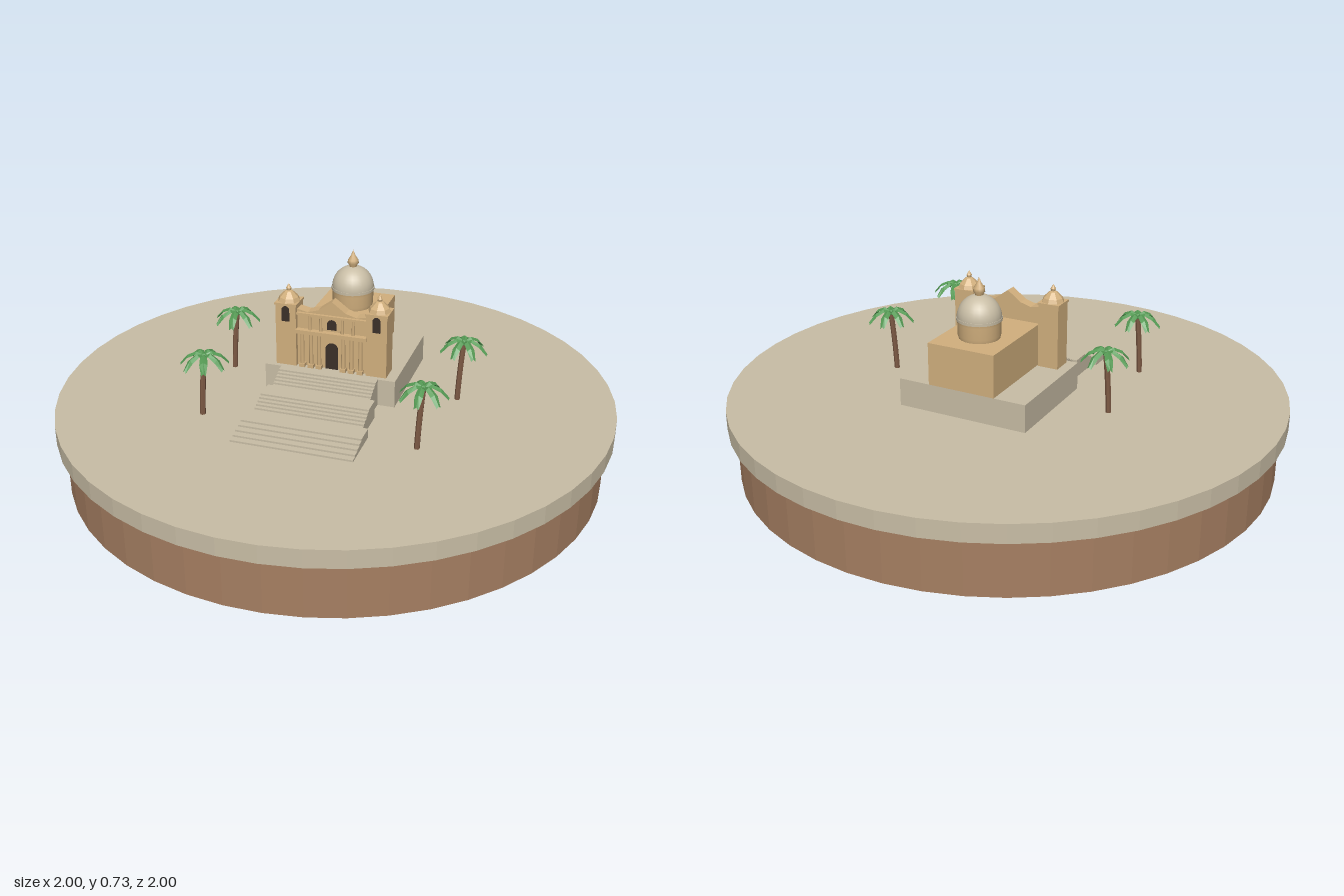
import * as THREE from 'three';

const mat = (name, color, extra = {}) => {
  const m = new THREE.MeshStandardMaterial({ color, ...extra });
  m.name = name;
  return m;
};

export function createModel() {
  const stone = mat('pale stone', 0xc9bea6);
  const stoneFlat = mat('pale stone faceted', 0xc9bea6, { flatShading: true });
  const earth = mat('earth brown', 0xa67f62, { flatShading: true });
  const tan = mat('tan plaster', 0xd2b07e);
  const tanFlat = mat('tan plaster faceted', 0xd2b07e, { flatShading: true });
  const dark = mat('dark opening', 0x3b3029);
  const bark = mat('palm bark', 0x7d5a44, { flatShading: true });
  const leaf = mat('palm green', 0x559a54, { flatShading: true, side: THREE.DoubleSide });

  const model = new THREE.Group();
  model.name = 'hilltopChurch';

  const add = (parent, name, geo, material, x = 0, y = 0, z = 0) => {
    const m = new THREE.Mesh(geo, material);
    m.name = name;
    m.position.set(x, y, z);
    parent.add(m);
    return m;
  };
  const box = (parent, name, material, w, y0, y1, d, x, z) =>
    add(parent, name, new THREE.BoxGeometry(w, y1 - y0, d), material, x, (y0 + y1) / 2, z);
  const lathe = (pts, n) => new THREE.LatheGeometry(pts.map(p => new THREE.Vector2(...p)), n);
  const extrude = (shape, depth) =>
    new THREE.ExtrudeGeometry(shape, { depth, bevelEnabled: false, curveSegments: 8 });

  // Round plinth
  const G = 0.265, T = 0.365;
  add(model, 'plinthBase', new THREE.CylinderGeometry(0.97, 0.97, 0.2, 48), earth, 0, 0.1, 0);
  add(model, 'plinthTop', new THREE.CylinderGeometry(1, 1, 0.065, 48), stoneFlat, 0, 0.2325, 0);

  // Church group, turned on the plinth
  const church = new THREE.Group();
  church.name = 'church';
  church.position.set(0.045, 0, -0.13);
  church.rotation.y = -Math.PI / 9;
  model.add(church);

  box(church, 'terrace', stone, 0.484, G, T, 0.414, 0, 0);

  // Three flights of steps with landings, each as one stepped profile
  const flights = [ // half width, back z, landing front z, foot z
    [0.18, 0.2, 0.236, 0.305], [0.197, 0.3, 0.373, 0.445], [0.215, 0.44, 0.515, 0.635],
  ];
  const rise = 0.1 / 3, steps = 5;
  flights.forEach(([hw, back, land, foot], i) => {
    const top = T - i * rise;
    const s = new THREE.Shape();
    s.moveTo(-back, G);
    s.lineTo(-back, top);
    const run = (foot - land) / steps;
    for (let k = 0; k < steps; k++) {
      const z = land + k * run, y = top - (k * rise) / steps;
      s.lineTo(-z, y);
      s.lineTo(-z, y - rise / steps);
    }
    if (i < 2) {
      s.lineTo(-foot, top - rise);
      s.lineTo(-foot, G);
    }
    const g = extrude(s, hw * 2);
    g.rotateY(Math.PI / 2);
    g.translate(-hw, 0, 0);
    add(church, 'stairFlight', g, stone);
  });

  // Nave
  box(church, 'nave', tan, 0.25, T, 0.517, 0.345, 0, -0.0345);

  // Drum, dome and finial
  const dz = -0.074;
  add(church, 'domeDrum', lathe([[0.07, 0.51], [0.075, 0.53], [0.075, 0.57], [0.078, 0.585]], 24), tan, 0, 0, dz);
  add(church, 'domeRim', new THREE.CylinderGeometry(0.079, 0.079, 0.01, 24), stone, 0, 0.585, dz);
  const dome = add(church, 'dome', new THREE.SphereGeometry(0.077, 24, 10, 0, Math.PI * 2, 0, Math.PI / 2), stone, 0, 0.589, dz);
  dome.scale.y = 1.03;
  add(church, 'domeFinial',
    lathe([[0.014, 0.655], [0.014, 0.67], [0.021, 0.68], [0.019, 0.692], [0.009, 0.708], [0, 0.73]], 10), tan, 0, 0, dz);

  // Gabled facade
  const gable = new THREE.Shape();
  gable.moveTo(-0.135, T);
  gable.lineTo(0.135, T);
  [[0.135, 0.582], [0.09, 0.573], [0.05, 0.585], [0, 0.622], [-0.05, 0.585], [-0.09, 0.573], [-0.135, 0.582]]
    .forEach(p => gable.lineTo(...p));
  add(church, 'facade', extrude(gable, 0.042), tan, 0, 0, 0.132);
  box(church, 'facadeCornice', tan, 0.262, 0.495, 0.509, 0.026, 0, 0.182);
  box(church, 'upperCornice', tan, 0.262, 0.563, 0.571, 0.014, 0, 0.178);

  // Arched plates for the door and windows
  const arch = (parent, name, w, h, x, y, z, ry = 0) => {
    const s = new THREE.Shape();
    s.moveTo(-w / 2, 0);
    s.lineTo(w / 2, 0);
    s.lineTo(w / 2, h - w / 2);
    s.absarc(0, h - w / 2, w / 2, 0, Math.PI, false);
    const m = add(parent, name, extrude(s, 0.005), dark, x, y, z);
    m.rotation.y = ry;
  };
  arch(church, 'door', 0.046, 0.1, 0, T, 0.173);
  arch(church, 'upperWindow', 0.034, 0.037, 0, 0.517, 0.173);

  // Facade columns and bell towers, mirrored
  for (const side of [-1, 1]) {
    for (const x of [0.045, 0.075, 0.108]) {
      add(church, 'lowerColumn', new THREE.CylinderGeometry(0.007, 0.008, 0.13, 8), tan, side * x, 0.43, 0.183);
      box(church, 'columnBase', tan, 0.021, T, 0.378, 0.022, side * x, 0.183);
    }
    for (const x of [0.04, 0.08])
      add(church, 'upperColumn', new THREE.CylinderGeometry(0.005, 0.006, 0.056, 8), tan, side * x, 0.536, 0.179);

    const tx = side * 0.167, tz = 0.152;
    box(church, 'bellTower', tan, 0.076, T, 0.595, 0.076, tx, tz);
    box(church, 'towerCornice', tan, 0.082, 0.594, 0.602, 0.082, tx, tz);
    add(church, 'towerCap',
      lathe([[0.041, 0.601], [0.035, 0.616], [0.015, 0.636], [0.008, 0.64], [0.01, 0.648], [0, 0.665]], 8),
      tanFlat, tx, 0, tz);
    arch(church, 'towerWindowFront', 0.028, 0.057, tx, 0.535, tz + 0.0355);
  }

  // Palm frond: a drooping strip folded along its spine
  const spine = [[0.0, 0.0, 0.006], [0.028, 0.01, 0.012], [0.058, -0.004, 0.014], [0.084, -0.034, 0.008]];
  const pos = [], idx = [];
  spine.forEach(([r, y, w], i) => {
    pos.push(r, y - 0.008, w, r, y, 0, r, y - 0.008, -w);
    if (i) for (const k of [0, 1]) {
      const a = (i - 1) * 3 + k, b = i * 3 + k;
      idx.push(a, b, b + 1, a, b + 1, a + 1);
    }
  });
  const frond = new THREE.BufferGeometry();
  frond.setAttribute('position', new THREE.Float32BufferAttribute(pos, 3));
  frond.setIndex(idx);
  frond.computeVertexNormals();

  // Palms: leaning trunk and a ring of seven fronds
  [[-0.36, -0.21], [-0.455, 0.165], [0.447, 0.085], [0.268, 0.43]].forEach(([x, z], n) => {
    const palm = new THREE.Group();
    palm.name = 'palm';
    palm.position.set(x, 0, z);
    const path = new THREE.QuadraticBezierCurve3(
      new THREE.Vector3(-0.015, G - 0.005, 0.005), new THREE.Vector3(-0.011, 0.38, 0.004), new THREE.Vector3(0, 0.485, 0));
    const trunk = new THREE.TubeGeometry(path, 5, 0.01, 7);
    add(palm, 'palmTrunk', trunk, bark);
    add(palm, 'palmHeart', new THREE.SphereGeometry(0.012, 8, 6), leaf, 0, 0.484, 0);
    for (let k = 0; k < 7; k++) {
      const f = add(palm, 'palmFrond', frond, leaf, 0, 0.49, 0);
      f.rotation.y = (k / 7) * Math.PI * 2 + n * 0.25;
    }
    model.add(palm);
  });

  return model;
}
